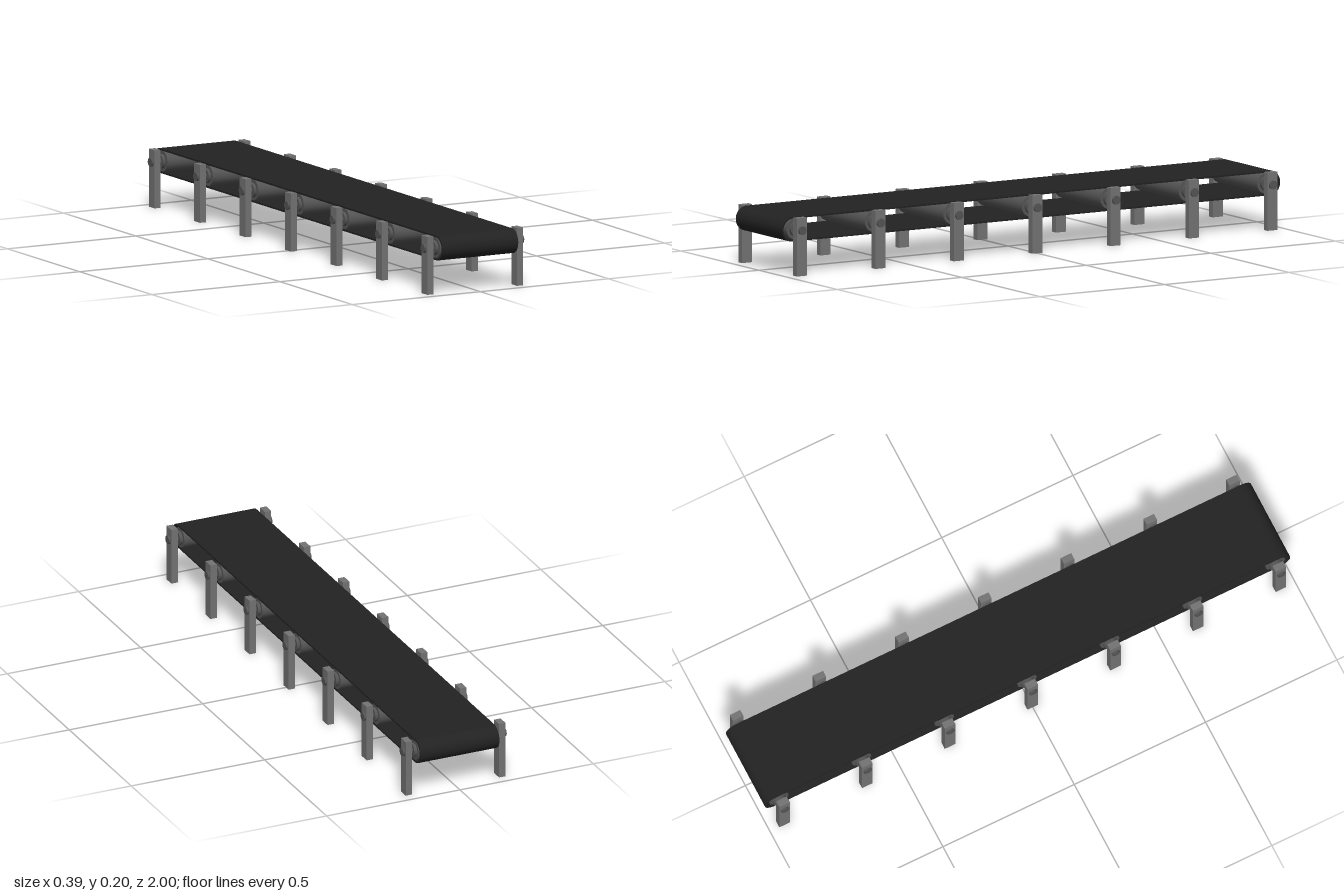
import * as THREE from 'three';

const mat = (name, color) => {
  const m = new THREE.MeshStandardMaterial({ color });
  m.name = name;
  return m;
};

// Stadium outline (two half circles joined by straight runs), drawn in z/y
function stadium(path, halfRun, r) {
  path.moveTo(-halfRun, -r);
  path.lineTo(halfRun, -r);
  path.absarc(halfRun, 0, r, -Math.PI / 2, Math.PI / 2, false);
  path.lineTo(-halfRun, r);
  path.absarc(-halfRun, 0, r, Math.PI / 2, Math.PI * 1.5, false);
  return path;
}

export function createModel() {
  const group = new THREE.Group();
  const beltMat = mat('black rubber', 0x222222);
  const legMat = mat('grey steel', 0x737373);
  const rollerMat = mat('dark steel', 0x555555);
  const axisY = 0.157, beltR = 0.0425, beltHalf = 0.148;

  function add(name, geometry, material, x, y, z, parent = group) {
    const mesh = new THREE.Mesh(geometry, material);
    mesh.name = name;
    mesh.position.set(x, y, z);
    parent.add(mesh);
    return mesh;
  }

  // Hollow belt loop
  const outline = stadium(new THREE.Shape(), 1 - beltR, beltR);
  outline.holes.push(stadium(new THREE.Path(), 1 - beltR, beltR - 0.006));
  const beltGeo = new THREE.ExtrudeGeometry(outline, {
    depth: beltHalf * 2, bevelEnabled: false, curveSegments: 16,
  });
  beltGeo.translate(0, 0, -beltHalf);
  beltGeo.rotateY(Math.PI / 2);
  add('belt', beltGeo, beltMat, 0, axisY, 0);

  // Shared station parts, cylinders lying along x
  const rod = (r, length) => new THREE.CylinderGeometry(r, r, length, 24).rotateZ(Math.PI / 2);
  const rollerGeo = rod(0.036, beltHalf * 2 - 0.004);
  const collarGeo = rod(0.025, 0.314);
  const axleGeo = rod(0.015, 0.388);
  const legGeo = new THREE.BoxGeometry(0.024, 0.2, 0.04);

  // Seven stations, each a roller carried by a pair of legs
  for (let i = -3; i <= 3; i++) {
    const station = new THREE.Group();
    station.name = 'rollerStation';
    station.position.z = i * 0.315;
    group.add(station);
    add('roller', rollerGeo, rollerMat, 0, axisY, 0, station);
    add('collar', collarGeo, rollerMat, 0, axisY, 0, station);
    add('axle', axleGeo, rollerMat, 0, axisY, 0, station);
    for (const side of [-1, 1]) add('leg', legGeo, legMat, side * 0.175, 0.1, 0, station);
  }
  return group;
}
